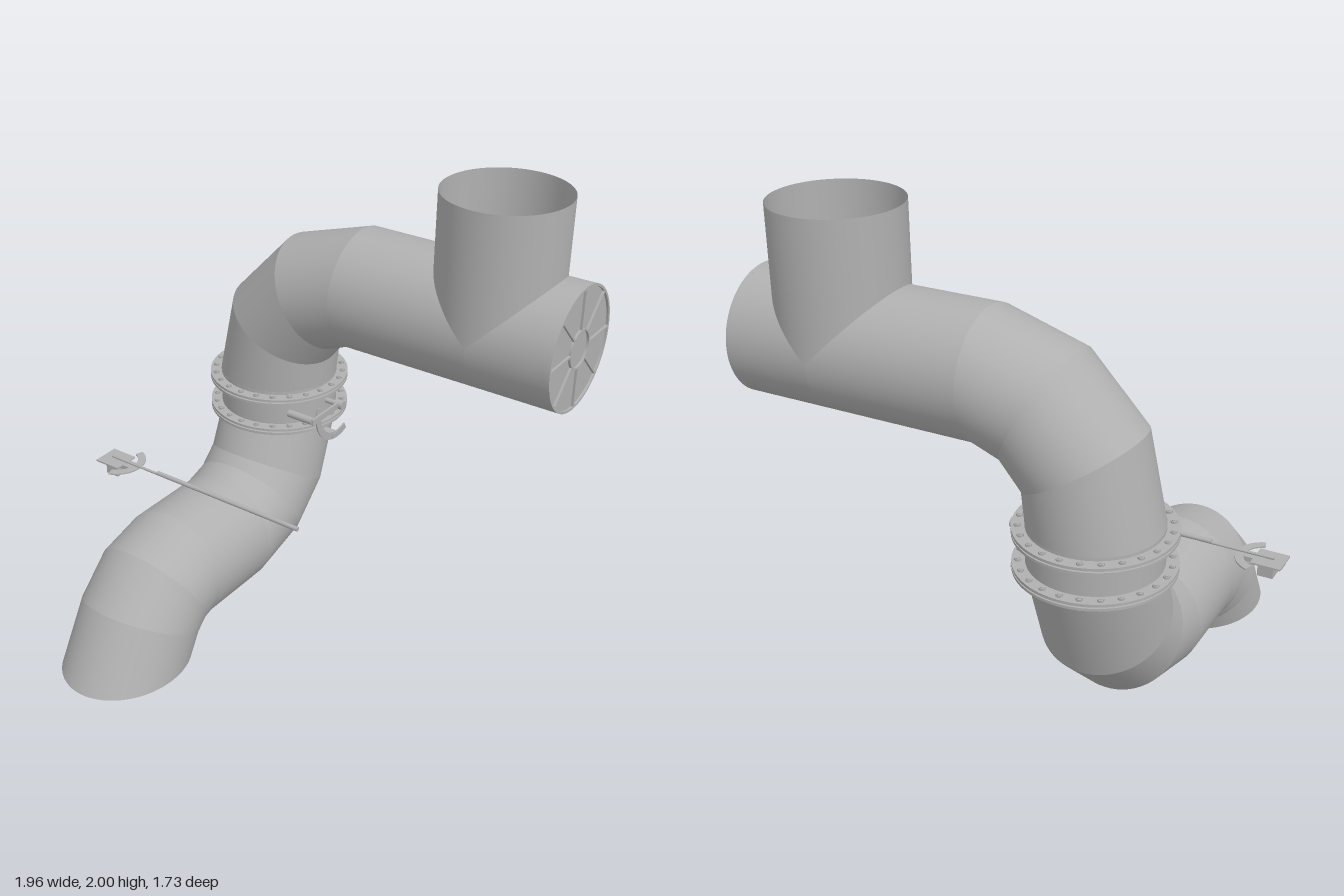
import * as THREE from 'three';

const R = 0.26, SIDES = 64;
const V = (x, y, z) => new THREE.Vector3(x, y, z);

export function createModel() {
  const model = new THREE.Group();
  const steel = new THREE.MeshStandardMaterial({ color: 0xb0b0b0 });
  const sheet = new THREE.MeshStandardMaterial({ color: 0xb0b0b0, side: THREE.DoubleSide });
  sheet.name = 'sheetSteel';
  steel.name = 'solidSteel';

  const add = (name, geometry, x = 0, y = 0, z = 0, parent = model, material = steel) => {
    const mesh = new THREE.Mesh(geometry, material);
    mesh.name = name;
    mesh.position.set(x, y, z);
    parent.add(mesh);
    return mesh;
  };
  const box = (w, h, d) => new THREE.BoxGeometry(w, h, d);
  const rodX = (r, len) => new THREE.CylinderGeometry(r, r, len, 20).rotateZ(Math.PI / 2);

  // Open sheet-metal wall between two closed rings
  const wall = (name, ringA, ringB) => {
    const pos = [], index = [];
    for (let i = 0; i < SIDES; i++) {
      const t = (i / SIDES) * Math.PI * 2;
      pos.push(...ringA(t).toArray(), ...ringB(t).toArray());
      const a = i * 2, b = ((i + 1) % SIDES) * 2;
      index.push(a, b, a + 1, b, b + 1, a + 1);
    }
    const g = new THREE.BufferGeometry();
    g.setAttribute('position', new THREE.Float32BufferAttribute(pos, 3));
    g.setIndex(index);
    g.computeVertexNormals();
    return add(name, g, 0, 0, 0, model, sheet);
  };
  // Ring through an outer and an inner point of the bend
  const ring = (outer, inner, side) => {
    const centre = outer.clone().add(inner).multiplyScalar(0.5);
    const half = outer.clone().sub(centre);
    return t => centre.clone().addScaledVector(half, Math.cos(t)).addScaledVector(side, R * Math.sin(t));
  };
  const run = (name, rings) => {
    for (let i = 0; i + 1 < rings.length; i++) wall(name + (i + 1), rings[i], rings[i + 1]);
  };

  // Lower run: each row is outer z, y, inner z, y
  const px = -0.448, pz = -0.553;
  run('lowerDuct', [
    [-0.812, 0.94, -0.292, 0.94], [-0.812, 0.74, -0.292, 0.74],
    [-0.675, 0.35, -0.23, 0.62], [-0.45, 0.135, -0.19, 0.582],
    [-0.12, 0.04, -0.12, 0.557], [0.245, 0.04, 0.245, 0.557],
    [0.235, 0.04, 0.493, 0.49], [0.24, 0.04, 0.69, 0.30], [0.262, 0, 0.865, 0],
  ].map(([a, b, c, d]) => ring(V(px, b, a), V(px, d, c), V(1, 0, 0))));

  // Upper elbow: each row is outer x, y, inner x, y
  run('upperElbow', [
    [-0.708, 0.94, -0.188, 0.94], [-0.627, 1.315, -0.18, 1.052],
    [-0.37, 1.59, -0.112, 1.14], [-0.02, 1.699, -0.02, 1.179],
  ].map(([a, b, c, d]) => ring(V(a, b, pz), V(c, d, pz), V(0, 0, 1))));

  // Tee: the main duct is cut along the saddle where the branch meets it
  const tx = 0.617, ty = 1.439, end = 0.98;
  const mainPoint = (x, t) => V(x, ty + R * Math.cos(t), pz + R * Math.sin(t));
  const saddle = sign => t => mainPoint(tx + sign * R * Math.max(0, Math.cos(t)), t);
  wall('mainDuctInner', t => mainPoint(-0.02, t), saddle(-1));
  wall('mainDuctOuter', saddle(1), t => mainPoint(end, t));
  const branch = y => t => V(tx + R * Math.cos(t), y(t), pz + R * Math.sin(t));
  wall('branchDuct', branch(() => 2), branch(t => ty + R * Math.abs(Math.cos(t))));

  // Spoked end cover
  const cover = new THREE.Group();
  cover.name = 'endCover';
  cover.position.set(end, ty, pz);
  model.add(cover);
  add('coverPlate', new THREE.CylinderGeometry(0.257, 0.257, 0.008, SIDES).rotateZ(Math.PI / 2), -0.014, 0, 0, cover);
  // Flat annular sector lying in the xy plane
  const sector = (inner, outer, from, to, depth) => {
    const s = new THREE.Shape();
    s.absarc(0, 0, outer, from, to, false);
    s.absarc(0, 0, inner, to, from, true);
    return new THREE.ExtrudeGeometry(s, { depth, bevelEnabled: false, curveSegments: 32 });
  };
  const annulus = (inner, outer, depth) => {
    const s = new THREE.Shape().absarc(0, 0, outer, 0, Math.PI * 2, false);
    s.holes.push(new THREE.Path().absarc(0, 0, inner, 0, Math.PI * 2, true));
    return new THREE.ExtrudeGeometry(s, { depth, bevelEnabled: false, curveSegments: SIDES });
  };
  add('coverRim', annulus(0.25, 0.26, 0.014).rotateY(Math.PI / 2), -0.014, 0, 0, cover);
  add('coverHub', annulus(0.075, 0.083, 0.014).rotateY(Math.PI / 2), -0.014, 0, 0, cover);
  for (let i = 0; i < 8; i++) {
    const a = (i * Math.PI) / 4;
    const spoke = add('coverSpoke', box(0.014, 0.17, 0.009), -0.007, 0.167 * Math.cos(a), 0.167 * Math.sin(a), cover);
    spoke.rotation.x = a;
  }

  // Bolted flange pairs
  for (const y of [0.913, 0.767]) {
    const flange = new THREE.Group();
    flange.name = 'flange';
    flange.position.set(px, y, pz);
    model.add(flange);
    for (const dy of [-0.014, 0.003])
      add('flangePlate', annulus(0.258, 0.31, 0.011).rotateX(-Math.PI / 2), 0, dy, 0, flange);
    for (let i = 0; i < 24; i++) {
      const a = (i * Math.PI) / 12, x = 0.286 * Math.cos(a), z = 0.286 * Math.sin(a);
      add('boltShank', new THREE.CylinderGeometry(0.008, 0.008, 0.052, 8), x, 0, z, flange);
      for (const dy of [-0.018, 0.018])
        add('boltHead', new THREE.CylinderGeometry(0.013, 0.013, 0.009, 6), x, dy, z, flange);
    }
  }

  // Valve lever with its quadrant
  const valve = new THREE.Group();
  valve.name = 'valveLever';
  valve.position.set(-0.125, 0.843, pz);
  model.add(valve);
  add('valveShaft', rodX(0.012, 0.1), -0.035, 0, 0, valve);
  add('shaftKnob', rodX(0.021, 0.035), 0.012, 0, 0, valve);
  add('leverPlate', box(0.01, 0.03, 0.22), 0.006, 0, 0.1, valve);
  add('leverGrip', rodX(0.017, 0.125), -0.065, 0, 0.195, valve);
  add('valveQuadrant', sector(0.135, 0.168, -2.0, 0.27, 0.006).rotateY(-Math.PI / 2), 0, 0, 0, valve);
  add('quadrantBracket', box(0.065, 0.024, 0.04), -0.03, -0.15, 0.02, valve);

  // Long damper spindle with its own indicator quadrant
  const damper = new THREE.Group();
  damper.name = 'damperSpindle';
  damper.position.set(-0.9, 0.575, 0.06);
  model.add(damper);
  add('spindle', rodX(0.01, 0.76), 0.61, 0.018, 0, damper);
  add('spindleTip', rodX(0.006, 0.28), 0.105, 0.013, 0, damper);
  add('damperQuadrant', sector(0.087, 0.122, -1.22, 1.22, 0.006).rotateX(-Math.PI / 2), 0, 0, 0, damper);
  add('basePlate', box(0.125, 0.007, 0.12), -0.018, 0.003, 0, damper);
  add('plateNeck', box(0.06, 0.006, 0.05), 0.066, 0.002, 0, damper);
  add('plateStiffener', box(0.165, 0.014, 0.05), 0.007, -0.008, 0, damper);
  add('damperBlock', box(0.065, 0.05, 0.07), 0.01 - 0.022, -0.035, 0, damper);

  return model;
}
